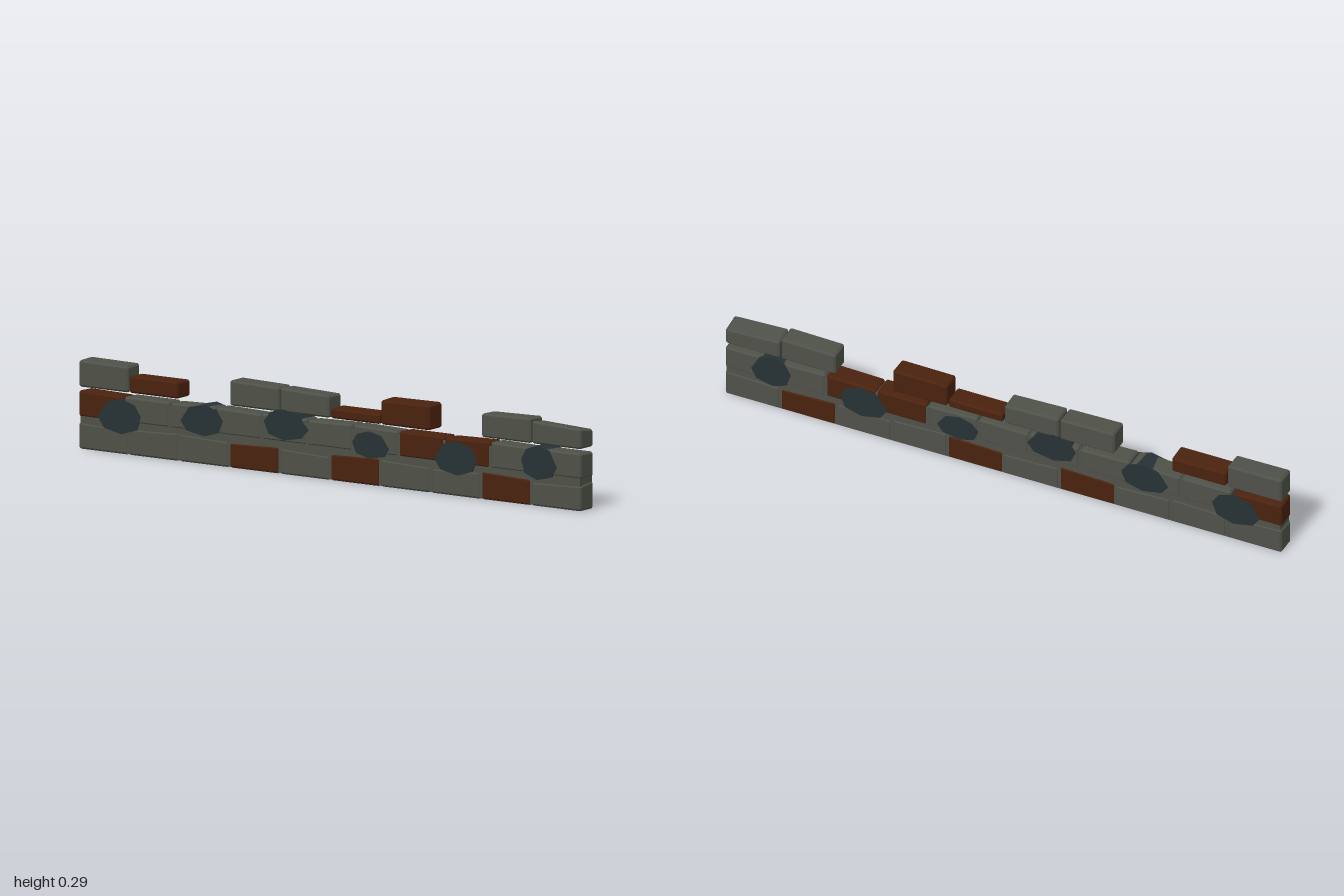
import * as THREE from 'three';
import { ConvexGeometry } from 'three/addons/geometries/ConvexGeometry.js';

const mat = (name, color) => {
  const m = new THREE.MeshStandardMaterial({ color });
  m.name = name;
  return m;
};

// Chamfered block; the top slopes along x (slopeX) and z (slopeZ)
function blockGeometry(x0, x1, y0, y1, slopeX, slopeZ, depth = 0.0365, c = 0.006) {
  const points = [];
  const cx = (x0 + x1) / 2, hw = (x1 - x0) / 2;
  for (const sx of [-1, 1]) for (const sy of [-1, 1]) for (const sz of [-1, 1]) {
    const x = cx + sx * hw, z = sz * depth;
    const y = sy < 0 ? y0 : y1 + sx * slopeX + sz * slopeZ;
    points.push(
      new THREE.Vector3(x, y - sy * c, z - sz * c),
      new THREE.Vector3(x - sx * c, y, z - sz * c),
      new THREE.Vector3(x - sx * c, y - sy * c, z));
  }
  return new ConvexGeometry(points);
}

export function createModel() {
  const wall = new THREE.Group();
  wall.name = 'ruinedWall';
  const grey = mat('greyStone', 0x4e5148);
  const brown = mat('brownBrick', 0x4a220e);
  const slate = mat('darkSlate', 0x273135);

  const add = (name, geometry, material, parent) => {
    const mesh = new THREE.Mesh(geometry, material);
    mesh.name = name;
    parent.add(mesh);
  };
  const course = name => {
    const g = new THREE.Group();
    g.name = name;
    wall.add(g);
    return g;
  };

  // Mortar core behind the two lower courses
  const core = new THREE.BoxGeometry(1.985, 0.176, 0.066);
  core.translate(0, 0.092, 0);
  add('mortarCore', core, grey, wall);

  // Bottom course: ten blocks
  const bottom = course('bottomCourse');
  const bottomTops = [0.088, 0.09, 0.087, 0.088, 0.083, 0.089, 0.09, 0.086, 0.088, 0.086];
  bottomTops.forEach((top, i) => {
    const x = -1 + i * 0.2;
    const brick = [3, 5, 8].includes(i);
    const slopeZ = i === 9 ? -0.004 : 0.002 * (i % 3 - 1);
    add('bottomBlock', blockGeometry(x + 0.002, x + 0.197, 0.002, top, 0.003 * (i % 2 ? 1 : -1), slopeZ),
      brick ? brown : grey, bottom);
  });

  // Middle course: eleven narrower blocks
  const middle = course('middleCourse');
  const step = 2 / 11;
  for (let i = 0; i < 11; i++) {
    const x = -1 + i * step;
    const brick = [0, 7, 8].includes(i);
    add('middleBlock', blockGeometry(x + 0.002, x + step - 0.003, 0.108, 0.191, 0.002 * (i % 3 - 1), 0.001),
      brick ? brown : grey, middle);
  }

  // Broken top course: [left, top, slope along x, slope along z, material]
  const upper = course('topCourse');
  [
    [-1, 0.293, -0.001, -0.001, grey], [-0.8, 0.261, 0, 0.001, brown],
    [-0.4, 0.287, -0.002, 0, grey], [-0.2, 0.281, -0.003, 0.001, grey],
    [0, 0.239, 0, 0, brown], [0.2, 0.288, 0.001, -0.001, brown],
    [0.6, 0.285, 0.002, 0.001, grey], [0.8, 0.272, -0.004, 0.004, grey],
  ].forEach(([x, top, sx, sz, m]) => {
    add('topBlock', blockGeometry(x + 0.002, x + 0.196, 0.206, top, sx, sz), m, upper);
  });

  // Irregular slate stones running through the wall: [x, y, half width, half height, tilt]
  const stones = course('slateStones');
  const outline = [[-1, -0.15], [-0.72, -0.75], [0.1, -1], [0.8, -0.68], [1, 0.1],
    [0.72, 0.72], [0.1, 1], [-0.6, 0.75]];
  [
    [-0.835, 0.125, 0.085, 0.058, 1], [-0.508, 0.146, 0.084, 0.052, 1],
    [-0.174, 0.165, 0.087, 0.051, -1], [0.163, 0.134, 0.073, 0.045, -1],
    [0.5, 0.126, 0.084, 0.056, 1], [0.832, 0.145, 0.071, 0.057, -1],
  ].forEach(([x, y, w, h, flip]) => {
    const shape = new THREE.Shape(outline.map(([u, v]) => new THREE.Vector2(x + u * w * flip, y + v * h)));
    const geometry = new THREE.ExtrudeGeometry(shape, { depth: 0.0746, bevelEnabled: false });
    geometry.translate(0, 0, -0.0373);
    add('slateStone', geometry, slate, stones);
  });

  return wall;
}
